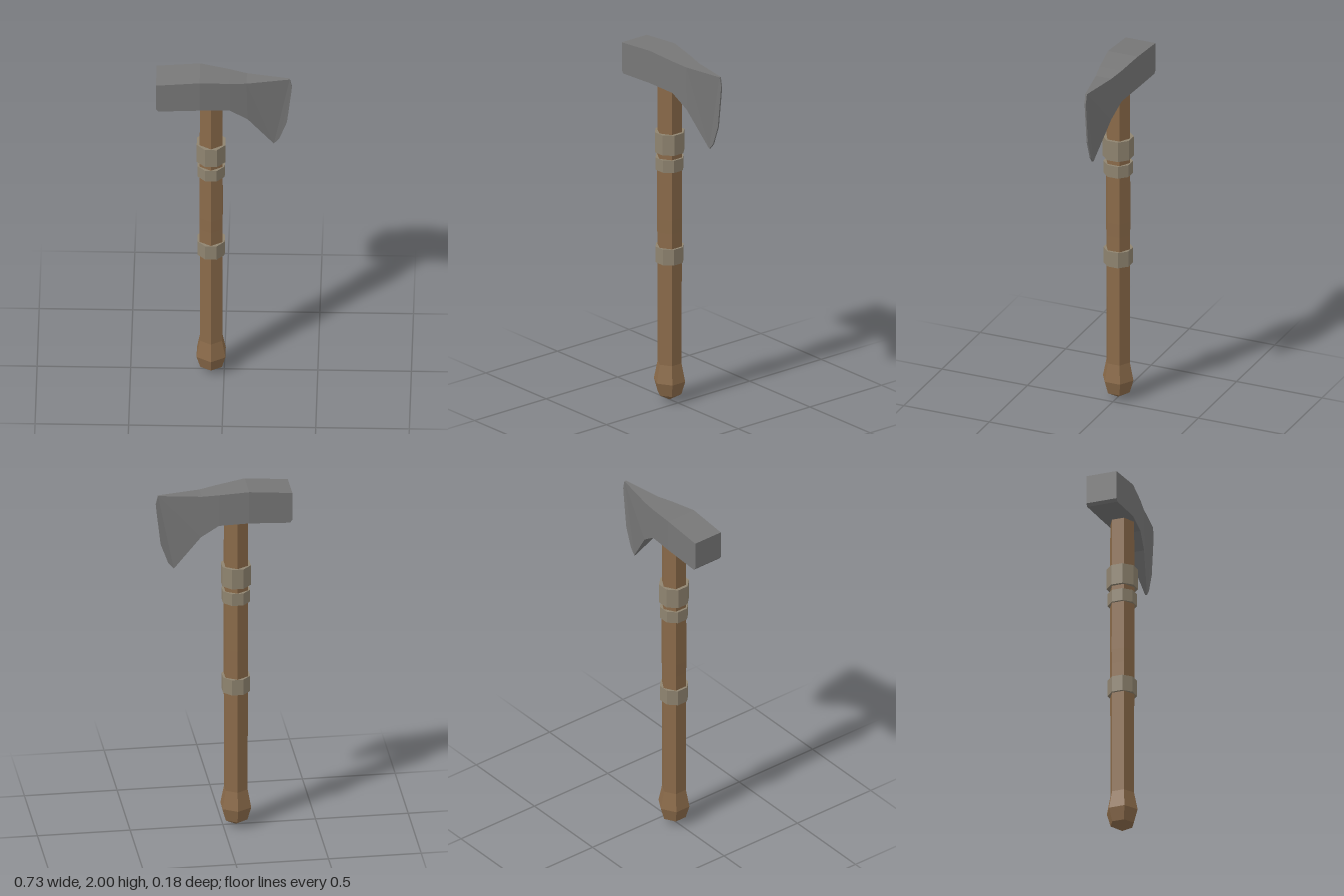
import * as THREE from 'three';

const AXIS_X = -0.07; // handle centre line

function material(color) {
  return new THREE.MeshStandardMaterial({ color, flatShading: true });
}

// Axe head: rectangular sections lofted from the poll to the cutting edge
function headGeometry() {
  // top x, top y, bottom x, bottom y, half thickness
  const sections = [
    [-0.363, 1.98, -0.363, 1.82, 0.087],
    [-0.35, 1.981, -0.35, 1.805, 0.087],
    [-0.13, 2.0, -0.13, 1.815, 0.087],
    [0.03, 1.981, 0.03, 1.8, 0.064],
    [0.12, 1.97, 0.125, 1.73, 0.046],
    [0.35, 1.97, 0.265, 1.535, 0.005],
    [0.362, 1.92, 0.295, 1.57, 0.004],
    [0.357, 1.87, 0.335, 1.68, 0.004],
  ];
  const positions = [];
  for (const [tx, ty, bx, by, w] of sections) {
    positions.push(tx, ty, w, tx, ty, -w, bx, by, -w, bx, by, w);
  }
  const index = [0, 1, 2, 0, 2, 3]; // poll face
  for (let s = 0; s < sections.length - 1; s++) {
    for (let i = 0; i < 4; i++) {
      const a = s * 4 + i;
      const b = s * 4 + ((i + 1) % 4);
      index.push(a, a + 4, b, a + 4, b + 4, b);
    }
  }
  const e = (sections.length - 1) * 4;
  index.push(e, e + 2, e + 1, e, e + 3, e + 2); // cutting edge face
  const geometry = new THREE.BufferGeometry();
  geometry.setAttribute('position', new THREE.Float32BufferAttribute(positions, 3));
  geometry.setIndex(index);
  const flat = geometry.toNonIndexed();
  flat.computeVertexNormals();
  return flat;
}

export function createModel() {
  const axe = new THREE.Group();
  axe.name = 'axe';

  function add(name, geometry, mat, x = 0, y = 0) {
    const mesh = new THREE.Mesh(geometry, mat);
    mesh.name = name;
    mesh.position.set(x, y, 0);
    axe.add(mesh);
  }

  // Six-sided handle with a swollen knob at the bottom
  const profile = [
    [0, 0], [0.067, 0.038], [0.089, 0.112], [0.068, 0.215],
    [0.07, 0.97], [0.071, 1.05], [0.069, 1.84], [0, 1.84],
  ].map(([r, y]) => new THREE.Vector2(r, y));
  add('handle', new THREE.LatheGeometry(profile, 6), material(0x8b6b4a), AXIS_X);

  // Eight-sided bands around the handle: bottom, top, radius
  const bandMaterial = material(0x8f8470);
  const bands = [
    ['upperBand', 1.425, 1.54, 0.083],
    ['middleBand', 1.325, 1.395, 0.079],
    ['lowerBand', 0.795, 0.885, 0.079],
  ];
  for (const [name, y0, y1, r] of bands) {
    const band = new THREE.CylinderGeometry(r, r, y1 - y0, 8);
    band.rotateY(Math.PI / 8);
    add(name, band, bandMaterial, AXIS_X, (y0 + y1) / 2);
  }

  add('head', headGeometry(), material(0x777777));
  return axe;
}
